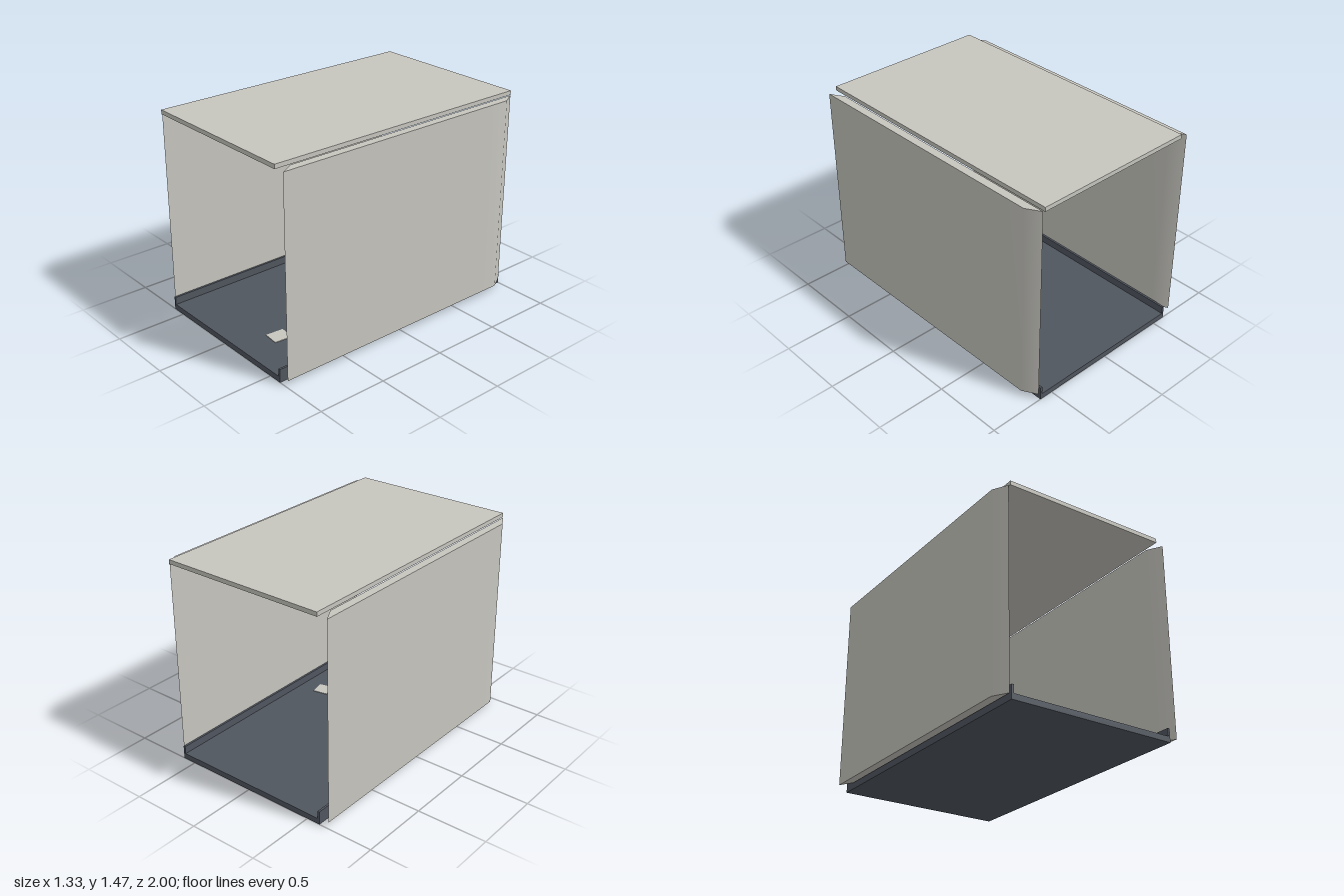
import * as THREE from 'three';
import { toCreasedNormals } from 'three/addons/utils/BufferGeometryUtils.js';

export function createModel() {
  const model = new THREE.Group();
  const shell = new THREE.MeshStandardMaterial({ name: 'warm grey shell', color: 0xc6c5be });
  const slate = new THREE.MeshStandardMaterial({ name: 'slate floor', color: 0x50565f });
  const steel = new THREE.MeshStandardMaterial({ name: 'steel grey lamp', color: 0x838892 });

  const add = (name, geometry, material, x, y, z) => {
    const mesh = new THREE.Mesh(geometry, material);
    mesh.name = name;
    mesh.position.set(x, y, z);
    model.add(mesh);
    return mesh;
  };
  const box = (name, w, h, d, material, x, y, z) =>
    add(name, new THREE.BoxGeometry(w, h, d), material, x, y, z);

  // Floor, low side rails and roof
  box('floor', 1.2, 0.04, 2, slate, 0, 0.02, 0);
  for (const side of [-1, 1]) {
    box(side > 0 ? 'leftRail' : 'rightRail', 0.015, 0.055, 2, slate, side * 0.5925, 0.0675, 0);
  }
  box('roof', 1.2, 0.03, 2, shell, 0, 1.455, 0);

  // Ceiling lamp
  box('ceilingLamp', 0.24, 0.05, 0.6, steel, 0, 1.415, -0.5);

  // Side walls: slanted plan with both ends cut the same way, softly shaded at the ends
  const plan = [
    [-0.029, -0.99], [-0.029, -0.72], [-0.029, 0.72], [-0.029, 0.89],
    [0.029, 0.99], [0.029, 0.72], [0.029, -0.72], [0.029, -0.89],
  ];
  // Shape y becomes -z once the extrusion is stood upright
  const shape = new THREE.Shape(plan.map(([x, z]) => new THREE.Vector2(x, -z)));
  const wall = toCreasedNormals(
    new THREE.ExtrudeGeometry(shape, { depth: 1.4, bevelEnabled: false }).rotateX(-Math.PI / 2), 0.7);
  add('leftWall', wall, shell, 0.636, 0.04, 0);
  add('rightWall', wall, shell, -0.636, 0.04, 0);

  // Thin loose tiles lying on the floor: x, z, width, depth, turn
  const tiles = [
    [0.11, 0.41, 0.115, 0.13, 0.77],
    [0.21, 0.71, 0.115, 0.13, -0.09],
    [0.41, 0.26, 0.11, 0.11, 0.2],
  ];
  for (const [x, z, w, d, turn] of tiles) {
    box('floorTile', w, 0.004, d, shell, x, 0.042, z).rotation.y = turn;
  }

  return model;
}
